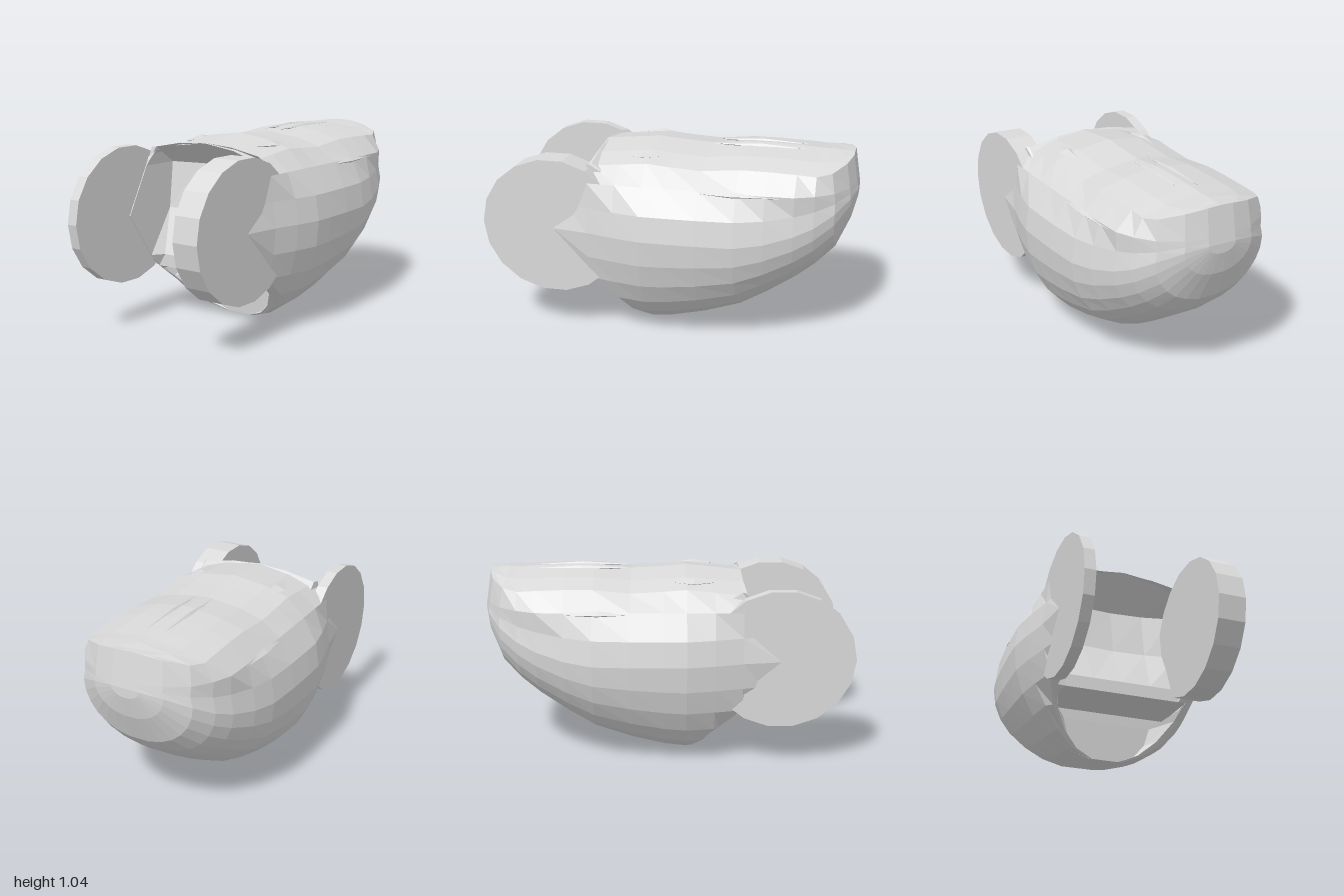
import * as THREE from 'three';

const shell = new THREE.MeshStandardMaterial({ color: 0xdadada, flatShading: true, side: THREE.DoubleSide });
shell.name = 'light grey';

// Piecewise linear lookup in a list of [key, value] pairs.
function lookup(table, k) {
  for (let i = 1; i < table.length; i++) {
    const [a, va] = table[i - 1], [b, vb] = table[i];
    if (k <= b) return va + (vb - va) * Math.max(0, (k - a) / (b - a));
  }
  return table[table.length - 1][1];
}

// Faceted surface through rows of points; faces (row direction) x (column direction).
function grid(rows) {
  const pos = [];
  for (let j = 0; j < rows.length - 1; j++) {
    for (let i = 0; i < rows[j].length - 1; i++) {
      const a = rows[j][i], b = rows[j][i + 1], c = rows[j + 1][i], d = rows[j + 1][i + 1];
      pos.push(...a, ...c, ...b, ...b, ...c, ...d);
    }
  }
  const g = new THREE.BufferGeometry();
  g.setAttribute('position', new THREE.Float32BufferAttribute(pos, 3));
  g.computeVertexNormals();
  return g;
}

// How far forward the hull reaches at each height.
const frontEdge = [[0, 0.1], [0.2, 0.27], [0.3, 0.4], [0.6, 0.6], [0.86, 0.46], [0.97, 0.41], [1.04, 0.4]];

// Half section of the hull, from the top centre down its left side to the flat keel.
function halfSection([z, w, keel, mid, top]) {
  const tx = Math.min(0.33, w * 0.92);
  const drop = 0.065 * (tx / 0.33) ** 2;
  const pts = [[0, top], [tx * 0.6, top - drop * 0.4], [tx, top - drop],
    [Math.min(0.43, w * 0.97), 0.87], [w * 0.96, (mid + 0.87) / 2]];
  const end = 0.45 * Math.PI;
  for (let i = 0; i <= 6; i++) {
    const a = end * i / 6;
    pts.push([w * Math.cos(a) ** 0.93, mid - (mid - keel) * Math.sin(a) / Math.sin(end)]);
  }
  return pts.map(([x, y]) => {
    const lean = z < -0.85 ? Math.max(0, y - 0.83) * 0.16 : 0;
    return [x, y, Math.min(z + lean, lookup(frontEdge, y))];
  });
}
const flip = ([x, y, z]) => [-x, y, z];

export function createModel() {
  const model = new THREE.Group();
  const add = (name, geometry) => {
    const m = new THREE.Mesh(geometry, shell);
    m.name = name;
    model.add(m);
    return m;
  };
  // Strip on one side; on the right it is mirrored
  const addStrip = (name, s, rows) =>
    add(name, grid(s > 0 ? rows : rows.map(([a, b]) => [flip(b), flip(a)])));

  // Hull stations: z, half width, keel height, widest height, top height
  const halves = [
    [-1, 0.08, 0.78, 0.83, 1.02], [-0.97, 0.2, 0.66, 0.81, 1.02], [-0.9, 0.32, 0.5, 0.76, 1.025],
    [-0.8, 0.39, 0.4, 0.7, 1.025], [-0.7, 0.435, 0.32, 0.66, 1.03], [-0.55, 0.48, 0.22, 0.62, 1.035],
    [-0.4, 0.51, 0.13, 0.6, 1.035], [-0.2, 0.525, 0.06, 0.6, 1.015], [-0.02, 0.53, 0.015, 0.6, 1.025],
    [0.1, 0.53, 0, 0.6, 1.035], [0.25, 0.5, 0, 0.6, 1.02], [0.4, 0.46, 0, 0.6, 1.005],
    [0.6, 0.43, 0, 0.6, 1.005],
  ].map(halfSection);
  add('hull', grid(halves.map(h => [...h, ...h.slice().reverse().map(flip)])));
  add('tailCap', grid(halves[0].map(p => [p, flip(p)])));

  // Upright chin, set back between two flared flanks
  const front = halves[halves.length - 1];
  add('chin', grid(front.slice(8).map(p => {
    const inner = [p[0] * (0.95 - p[1]), p[1], 0.1 + 0.12 * p[1]];
    return [flip(p), flip(inner), inner, p];
  })));

  // Shallow hollow between the discs: height, depth, half width, sag at the sides, extra depth in the middle
  const hollow = [
    [1.005, 0.395, 0.35, 0.045, 0], [0.86, 0.24, 0.365, 0, 0.05], [0.6, 0.27, 0.365, 0, 0.04],
    [0.35, 0.37, 0.32, 0, 0], [0.28, 0.37, 0.32, 0, 0], [0.26, 0.13, 0.33, 0, 0], [0.205, 0.125, 0.248, 0, 0],
  ];
  add('hollow', grid(hollow.map(([y, z, w, sag, dip]) =>
    [-1, -0.5, 0, 0.5, 1].map(f => [f * w, y - sag * f * f, z - dip * (1 - f * f)]))));

  // Cheek walls beside the hollow and the rims that close them to the hull
  const wall = hollow.map(([y, z, w, sag]) => [
    [w, y - sag, z],
    [Math.min(0.365, 0.25 + 0.4 * y), y - sag, lookup(frontEdge, y - sag)],
  ]);
  const rim = front.slice(2, 9).map(p => [[Math.min(p[0], 0.365), p[1], p[2]], p]);
  for (const s of [1, -1]) {
    const side = s > 0 ? 'left' : 'right';
    addStrip(side + 'Cheek', s, wall);
    addStrip(side + 'Rim', s, rim);
  }

  // Front discs, slightly longer than tall, the left one thicker
  for (const [name, x0, x1] of [['leftDisc', 0.28, 0.43], ['rightDisc', -0.43, -0.37]]) {
    const disc = new THREE.CylinderGeometry(0.376, 0.376, x1 - x0, 18);
    disc.rotateZ(Math.PI / 2).scale(1, 1, 1.05).translate((x0 + x1) / 2, 0.61, 0.605);
    add(name, disc);
  }

  // Small pointed ridges on the deck and along the sides
  const ridge = (name, w, h, l, x, y, z) => {
    const m = add(name, new THREE.OctahedronGeometry(0.5));
    m.scale.set(w, h, l);
    m.position.set(x, y, z);
  };
  for (const s of [1, -1]) {
    ridge('deckRidge', 0.03, 0.03, 0.5, s * 0.05, 1.025, -0.47);
    ridge('deckLug', 0.11, 0.04, 0.25, s * 0.24, 0.99, 0.14);
    ridge('sideLedge', 0.05, 0.04, 0.55, s * 0.425, 0.86, -0.37);
  }
  return model;
}
